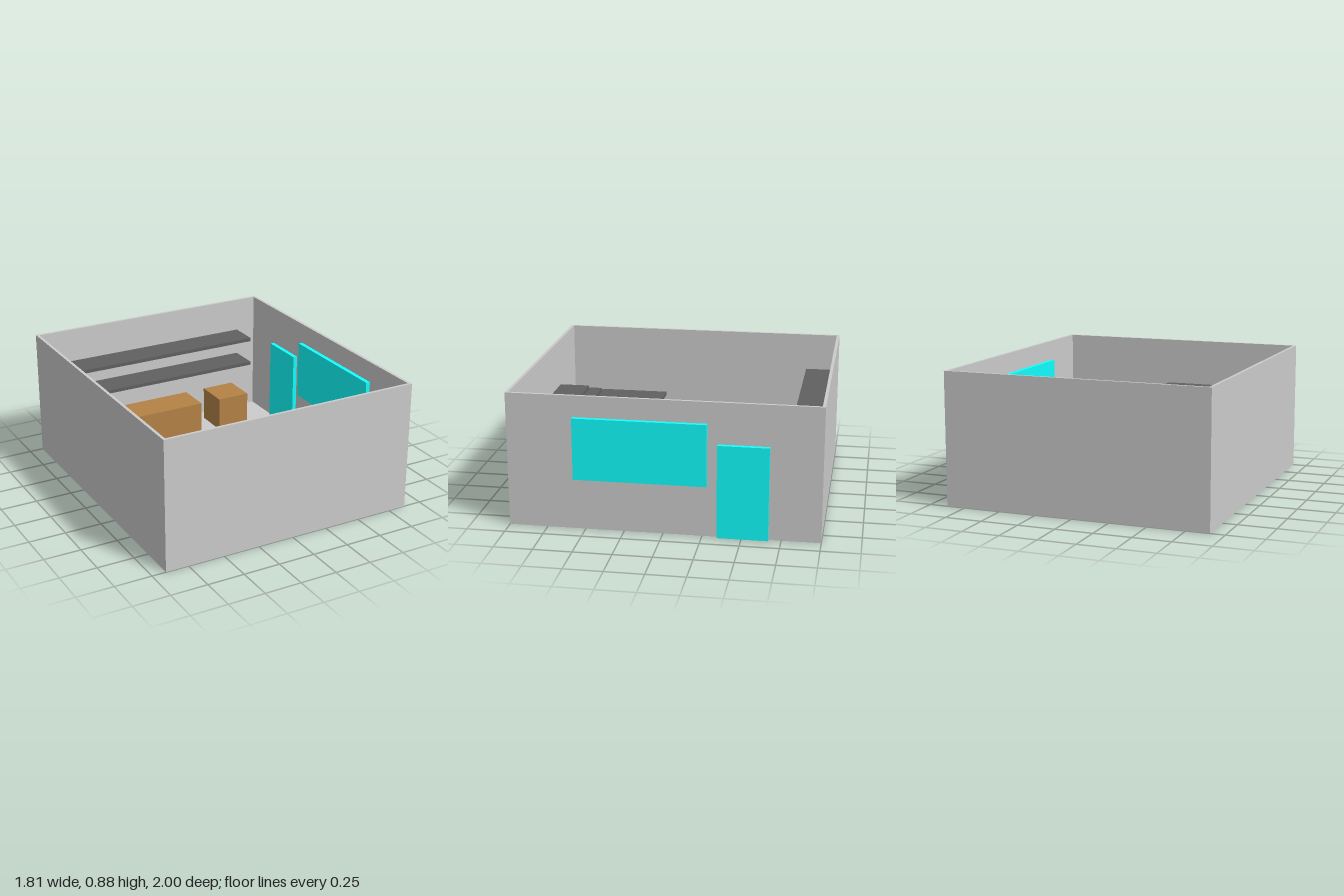
import * as THREE from 'three';

const material = (color) => new THREE.MeshStandardMaterial({ color, flatShading: true });
const GREY = material(0xcccccc);
const DARK = material(0x606060);
const TEAL = material(0x11ffff);
const BROWN = material(0xb48246);
const PURPLE = material(0xbb11b5);
const ORANGE = material(0xff6e11);
const BLUE = material(0x0d78f0);

// Axis-aligned box given by its [min, max] range on each axis
function box(name, mat, [x0, x1], [y0, y1], [z0, z1]) {
  const mesh = new THREE.Mesh(new THREE.BoxGeometry(x1 - x0, y1 - y0, z1 - z0), mat);
  mesh.position.set((x0 + x1) / 2, (y0 + y1) / 2, (z0 + z1) / 2);
  mesh.name = name;
  return mesh;
}

export function createModel() {
  const room = new THREE.Group();
  room.name = 'room';

  const WALL = 0.885, FLOOR = 0.02;
  const outX = [-0.905, 0.875], inX = [-0.885, 0.855];
  const inZ = [-0.98, 0.98];

  // Floor and four walls, open at the top
  room.add(
    box('floor', GREY, outX, [0, FLOOR], [-1, 1]),
    box('backWall', GREY, outX, [FLOOR, WALL], [-1, inZ[0]]),
    box('frontWall', GREY, outX, [FLOOR, WALL], [inZ[1], 1]),
    box('rightWall', GREY, [outX[0], inX[0]], [FLOOR, WALL], inZ),
    box('leftWall', GREY, [inX[1], outX[1]], [FLOOR, WALL], inZ),
  );

  // Window and door panels passing through the left wall
  room.add(
    box('window', TEAL, [0.825, 0.905], [0.34, 0.745], [-0.28, 0.57]),
    box('door', TEAL, [0.825, 0.905], [0.003, 0.615], [-0.67, -0.345]),
  );

  // Thin wall shelves: name, x range, top height, z range
  const shelves = [
    ['backLowerShelf', [-0.81, 0.71], 0.457, [-0.98, -0.77]],
    ['backUpperShelf', [-0.81, 0.71], 0.647, [-0.98, -0.77]],
    ['frontUpperShelf', [-0.42, 0.06], 0.562, [0.765, 0.975]],
    ['frontLowerShelf', [-0.84, -0.38], 0.42, [0.765, 0.975]],
    ['rightShelf', [-0.885, -0.67], 0.4, [0.28, 0.77]],
  ];
  for (const [name, x, top, z] of shelves) room.add(box(name, DARK, x, [top - 0.025, top], z));

  // Storage boxes below the back shelves
  [[-0.75, -0.45], [-0.335, 0.22], [0.37, 0.61]].forEach((x, i) =>
    room.add(box(`storageBox${i + 1}`, BROWN, x, [FLOOR, 0.263], [-0.885, -0.64])));

  // Desk with stool and bin
  room.add(
    box('desk', PURPLE, [-0.885, -0.67], [FLOOR, 0.238], [-0.225, 0.265]),
    box('stool', PURPLE, [-0.635, -0.425], [FLOOR, 0.17], [-0.05, 0.14]),
    box('bin', PURPLE, [-0.8, -0.72], [FLOOR, 0.08], [-0.425, -0.35]),
  );

  // Bench by the front left corner
  room.add(box('bench', ORANGE, [0.365, 0.855], [FLOOR, 0.218], [0.58, 0.765]));

  // Tapered square tower: a four-sided cylinder turned by 45 degrees
  const height = 0.5;
  const taper = new THREE.CylinderGeometry(0.05 * Math.SQRT2, 0.149 * Math.SQRT2, height, 4);
  taper.rotateY(Math.PI / 4);
  const tower = new THREE.Mesh(taper, BLUE);
  tower.name = 'taperedTower';
  tower.position.set(0.162, FLOOR + height / 2, 0.824);
  room.add(tower);

  return room;
}
